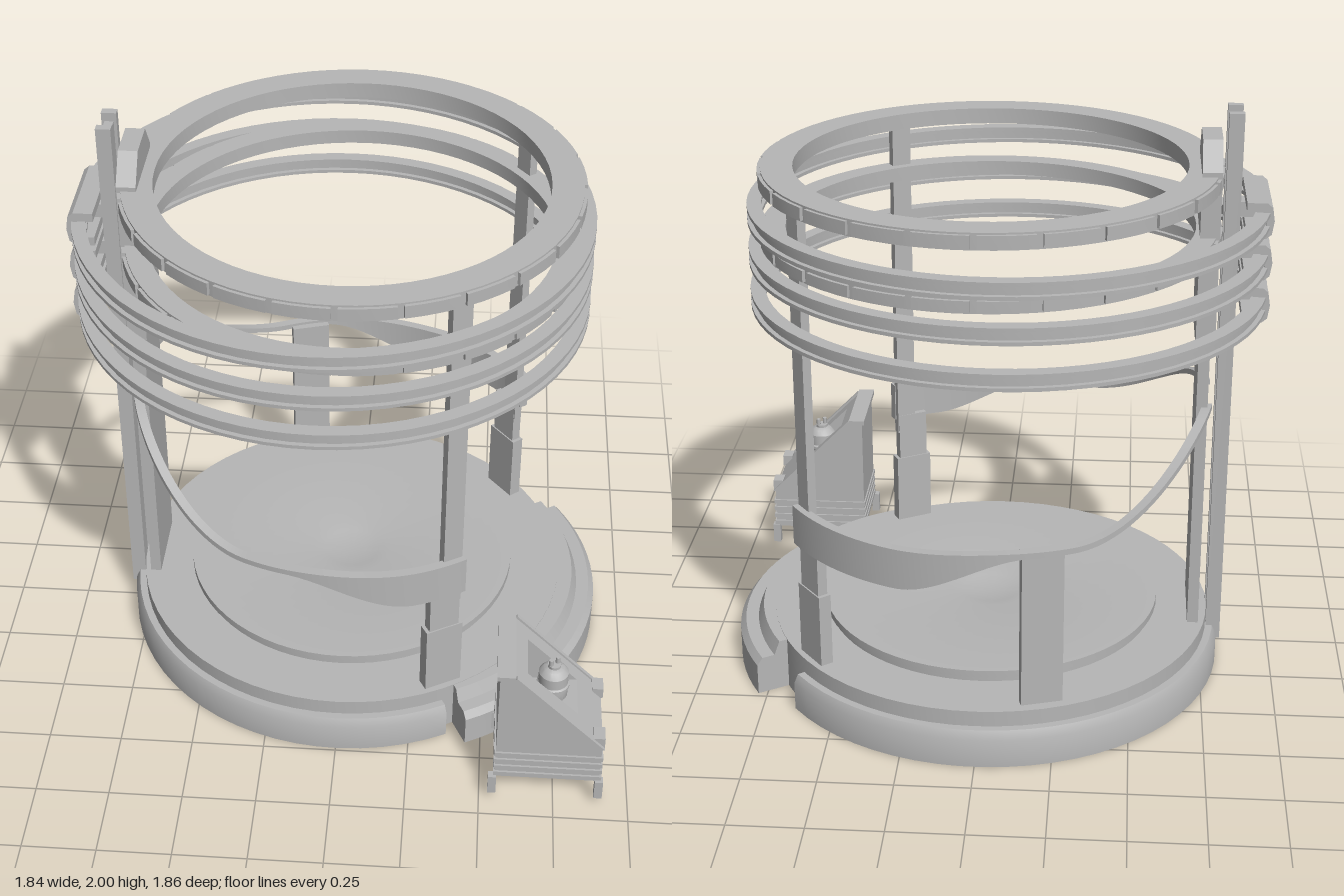
import * as THREE from 'three';
import { toCreasedNormals } from 'three/addons/utils/BufferGeometryUtils.js';

const grey = new THREE.MeshStandardMaterial({ color: 0xb6b6b6 });
grey.name = 'plain grey';
const CZ = -0.07; // the round platform's centre in z
const rad = THREE.MathUtils.degToRad;
const smooth = THREE.MathUtils.smoothstep;

export function createModel() {
  const model = new THREE.Group();
  const add = (name, geometry, x = 0, y = 0, z = 0, turn = 0) => {
    const mesh = new THREE.Mesh(geometry, grey);
    mesh.name = name;
    mesh.position.set(x, y, z);
    mesh.rotation.y = turn;
    model.add(mesh);
    return mesh;
  };
  // box given by its limits
  const box = (name, x0, x1, y0, y1, z0, z1) =>
    add(name, new THREE.BoxGeometry(x1 - x0, y1 - y0, z1 - z0), (x0 + x1) / 2, (y0 + y1) / 2, (z0 + z1) / 2);
  // upright box facing the platform centre, at an angle from +x towards +z
  const radialBox = (name, deg, r, thick, wide, y0, y1) => {
    const a = rad(deg);
    return add(name, new THREE.BoxGeometry(thick, y1 - y0, wide),
      r * Math.cos(a), (y0 + y1) / 2, CZ + r * Math.sin(a), -a);
  };
  const extrude = (points, depth) => new THREE.ExtrudeGeometry(
    new THREE.Shape(points.map(p => new THREE.Vector2(...p))), { depth, bevelEnabled: false });

  // closed (radius, y) cross-section swept round the y axis, capped if not a full turn
  const sweep = (deg0, deg1, steps, section) => {
    const pos = [], index = [];
    let n = 0;
    for (let i = 0; i <= steps; i++) {
      const d = deg0 + (deg1 - deg0) * i / steps, a = rad(d);
      const pts = section(d);
      n = pts.length;
      for (const [r, y] of pts) pos.push(r * Math.cos(a), y, r * Math.sin(a));
    }
    for (let i = 0; i < steps; i++) for (let j = 0; j < n; j++) {
      const p = i * n + j, q = i * n + (j + 1) % n;
      index.push(p, q, q + n, p, q + n, p + n);
    }
    if (deg1 - deg0 < 360) {
      for (const [d, base, flip] of [[deg0, 0, true], [deg1, steps * n, false]]) {
        const tris = THREE.ShapeUtils.triangulateShape(section(d).map(p => new THREE.Vector2(...p)), []);
        for (const [a, b, c] of tris) index.push(base + a, base + (flip ? c : b), base + (flip ? b : c));
      }
    }
    const g = new THREE.BufferGeometry();
    g.setAttribute('position', new THREE.Float32BufferAttribute(pos, 3));
    g.setIndex(index);
    return toCreasedNormals(g, rad(30));
  };
  const rect = (r0, r1, y0, y1) => [[r0, y0], [r1, y0], [r1, y1], [r0, y1]];

  // platform core with raised turntable and shallow centre dish
  const profile = [[0, 0], [0.77, 0], [0.77, 0.185], [0.58, 0.185], [0.58, 0.2], [0.592, 0.205], [0.592, 0.23],
    [0.145, 0.23], [0.1, 0.22], [0.05, 0.214], [0, 0.212]].map(p => new THREE.Vector2(...p));
  add('platform', toCreasedNormals(new THREE.LatheGeometry(profile, 64), rad(25)), 0, 0, CZ);

  // bevelled outer skirt, open on the console side
  const skirt = [[0.75, 0], [0.81, 0], [0.81, 0.1], [0.795, 0.13], [0.75, 0.13]];
  add('platformSkirt', sweep(62, 322, 48, () => skirt), 0, 0, CZ);

  // entry step bulging towards +x
  const step = [[0.5, 0], [0.815, 0], [0.815, 0.11], [0.795, 0.135], [0.75, 0.135], [0.73, 0.183], [0.5, 0.183]];
  add('entryStep', sweep(-32, 64, 24, () => step), 0.09, 0, -0.05);

  // two flat rings with panelled rims
  for (const [y0, y1, inner] of [[1.76, 1.815, 0.65], [1.56, 1.61, 0.68]]) {
    add('flatRing', sweep(0, 360, 72, () => rect(inner, 0.755, y0, y1)), 0, 0, CZ);
    for (let d = 0; d < 360; d += 15) {
      add('ringPanel', sweep(d + 0.8, d + 14.2, 3, () => rect(0.75, 0.766, y0 + 0.006, y1 - 0.006)), 0, 0, CZ);
    }
  }

  // three large channel hoops, each held by a clamp on the mast
  for (const y of [1.672, 1.53, 1.383]) {
    const channel = [[0.815, y - 0.028], [0.863, y - 0.028], [0.863, y - 0.016], [0.847, y - 0.016],
      [0.847, y + 0.016], [0.863, y + 0.016], [0.863, y + 0.028], [0.815, y + 0.028],
      [0.815, y + 0.016], [0.831, y + 0.016], [0.831, y - 0.016], [0.815, y - 0.016]];
    add('hoop', sweep(0, 360, 72, () => channel), -0.06, 0, CZ);

    const clamp = [[-0.835, -0.06], [-0.835, -0.03], [-0.885, -0.03], [-0.9, -0.018], [-0.9, 0.018], [-0.885, 0.03],
      [-0.835, 0.03], [-0.835, 0.06], [-0.9, 0.06], [-0.918, 0.045], [-0.925, 0], [-0.918, -0.045], [-0.9, -0.06]];
    add('hoopClamp', extrude(clamp, 0.31), 0, y, -0.22);
    box('clampArm', -0.875, -0.78, y - 0.025, y + 0.025, -0.1, -0.03);
  }

  // H-section mast outside the platform
  box('mastWeb', -0.81, -0.78, 0.08, 1.97, -0.12, 0);
  for (const z of [-0.13, -0.02]) box('mastFlange', -0.82, -0.77, 0.08, 2, z, z + 0.03);

  // broad column with a tapered head
  box('column', -0.738, -0.7, 0.18, 1.24, -0.21, 0.07);
  const head = [[-0.22, 1.235], [0.08, 1.235], [0.08, 1.83], [0, 1.92], [-0.15, 1.92], [-0.22, 1.83]];
  add('columnHead', extrude(head, 0.065), -0.688, 0, 0, -Math.PI / 2);

  // two ring posts on wider feet, and a short rear panel post
  for (const [deg, side] of [[59, 1], [-37, -1]]) {
    radialBox('ringPost', deg, 0.725, 0.03, 0.07, 0.55, 1.77);
    radialBox('postSleeve', deg + side * 2, 0.725, 0.035, 0.11, 0.18, 0.62);
    radialBox('postFoot', deg + side * 2, 0.725, 0.045, 0.135, 0.18, 0.445);
  }
  radialBox('rearPost', -107, 0.72, 0.03, 0.14, 0.18, 0.745);

  // waving handrails: high at the column, low and deep at the posts
  const rail = away => {
    const top = 1.01 - 0.255 * smooth(away, 10, 66) - 0.015 * smooth(away, 80, 112);
    const low = top - 0.02 - 0.12 * smooth(away, 77, 110);
    return rect(0.73, 0.762, low, top);
  };
  add('frontHandrail', sweep(56, 172, 48, d => rail(180 - d)), 0, 0, CZ);
  add('rearHandrail', sweep(188, 326, 56, d => rail(d - 180)), 0, 0, CZ);

  // console: side cheeks and a centre with a niche in the sloping face
  const cheek = [[0.55, 0.09], [0.9, 0.09], [0.9, 0.245], [0.595, 0.55], [0.55, 0.55]];
  const centre = [[0.55, 0.09], [0.9, 0.09], [0.9, 0.245], [0.815, 0.33], [0.64, 0.33], [0.64, 0.505],
    [0.595, 0.55], [0.55, 0.55]];
  add('consoleCheek', extrude(cheek, 0.065), 0, 0, 0.615);
  add('consoleCentre', extrude(centre, 0.16), 0, 0, 0.68);
  add('consoleCheek', extrude(cheek, 0.07), 0, 0, 0.84);
  box('consoleCap', 0.54, 0.6, 0.54, 0.557, 0.605, 0.92);
  for (const y of [0.1, 0.13, 0.16, 0.19]) box('louvre', 0.545, 0.906, y, y + 0.016, 0.608, 0.917);
  for (const z of [0.62, 0.85]) box('consoleButton', 0.87, 0.908, 0.245, 0.285, z, z + 0.055);
  for (const x of [0.528, 0.885]) for (const z of [0.603, 0.9]) {
    box('consoleFoot', x, x + 0.028, 0.025, 0.1, z, z + 0.028);
  }
  // raised edging along the slope
  for (const z of [0.61, 0.903]) {
    const edge = [[0.595, 0.54], [0.89, 0.245], [0.908, 0.245], [0.604, 0.552]];
    add('slopeEdge', extrude(edge, 0.014), 0, 0, z);
  }

  // canister standing in the niche
  const canister = [[0, 0], [0.04, 0], [0.05, 0.015], [0.05, 0.05], [0.055, 0.055], [0.055, 0.065], [0.05, 0.07],
    [0.05, 0.11], [0.035, 0.13], [0.022, 0.135], [0.022, 0.145], [0, 0.145]].map(p => new THREE.Vector2(...p));
  add('canister', toCreasedNormals(new THREE.LatheGeometry(canister, 24), rad(35)), 0.73, 0.33, 0.758);
  for (const s of [-1, 1]) {
    add('canisterValve', new THREE.CylinderGeometry(0.008, 0.008, 0.025, 10), 0.73 + s * 0.011, 0.485, 0.758 - s * 0.008);
  }
  return model;
}
